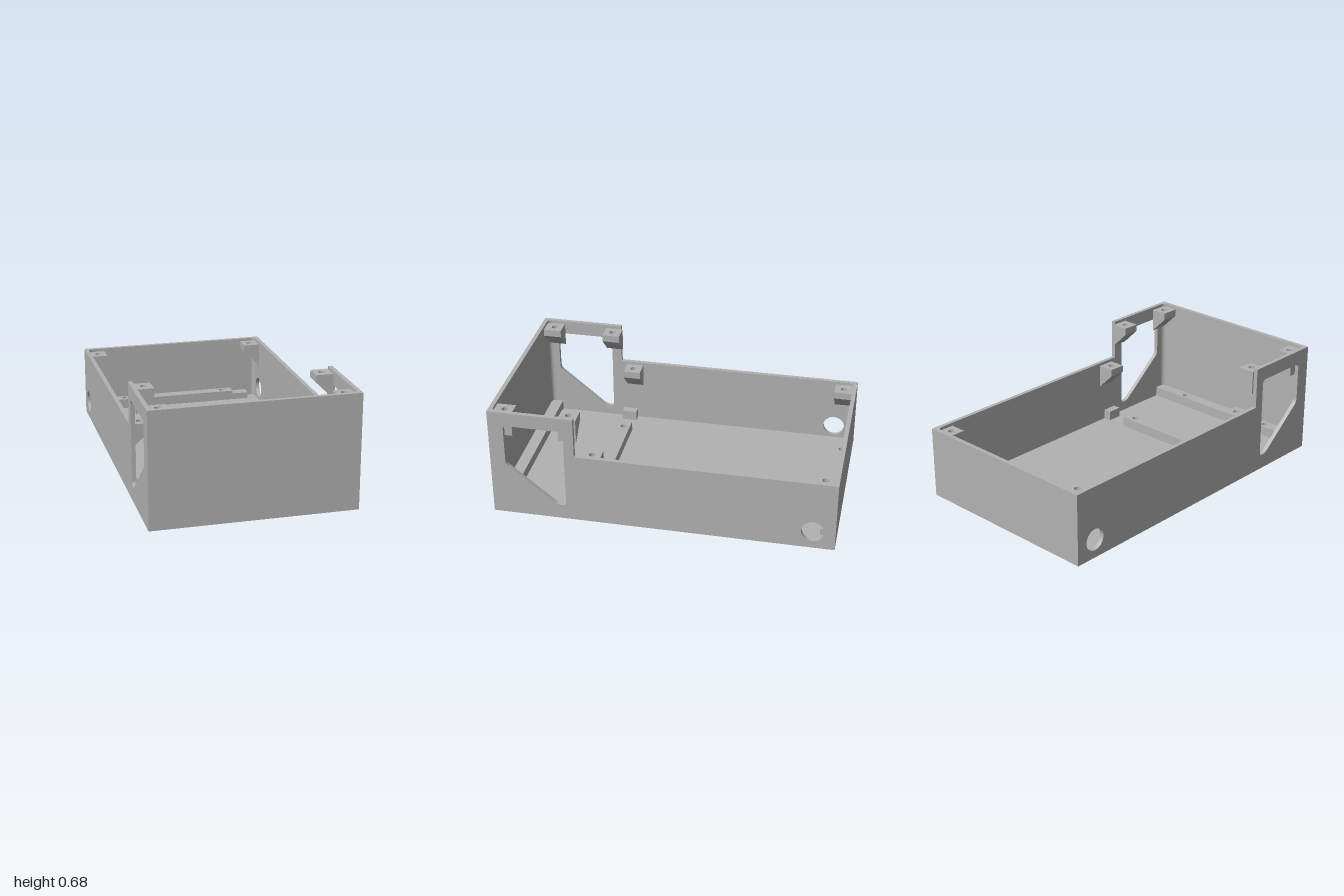
import * as THREE from 'three';
import { toCreasedNormals } from 'three/addons/utils/BufferGeometryUtils.js';

const HALF_W = 0.59, WALL = 0.025, LOW = 0.43, HIGH = 0.675, FLOOR = 0.03;
const IN_X = HALF_W - WALL, IN_Z = 1 - WALL;

export function createModel() {
  const model = new THREE.Group();
  const grey = new THREE.MeshStandardMaterial({ color: 0xb2b2b2 });
  grey.name = 'grey plastic';

  const add = (name, geometry, x = 0, y = 0, z = 0) => {
    const mesh = new THREE.Mesh(geometry, grey);
    mesh.name = name;
    mesh.position.set(x, y, z);
    model.add(mesh);
  };
  const box = (name, x0, x1, y0, y1, z0, z1) =>
    add(name, new THREE.BoxGeometry(x1 - x0, y1 - y0, z1 - z0), (x0 + x1) / 2, (y0 + y1) / 2, (z0 + z1) / 2);
  const polygon = pts => new THREE.Shape(pts.map(p => new THREE.Vector2(...p)));
  const extrude = (shape, depth) => toCreasedNormals(
    new THREE.ExtrudeGeometry(shape, { depth, bevelEnabled: false, curveSegments: 24 }), 0.5);
  const circle = (x, y, r) => new THREE.Path().absarc(x, y, r, 0, Math.PI * 2, true);

  // closed path with softened corners
  const roundedPath = (pts, r) => {
    const path = new THREE.Path();
    pts.forEach((p, i) => {
      const c = new THREE.Vector2(...p);
      const toward = q => c.clone().add(new THREE.Vector2(...q).sub(c).setLength(r));
      const a = toward(pts[(i + pts.length - 1) % pts.length]);
      const b = toward(pts[(i + 1) % pts.length]);
      if (i) path.lineTo(a.x, a.y); else path.moveTo(a.x, a.y);
      path.quadraticCurveTo(c.x, c.y, b.x, b.y);
    });
    path.closePath();
    return path;
  };

  // horizontal slab with vertical screw holes
  const drilledSlab = (name, x0, x1, y0, y1, z0, z1, holes) => {
    const shape = polygon([[x0, -z0], [x0, -z1], [x1, -z1], [x1, -z0]]);
    holes.forEach(([x, z]) => shape.holes.push(circle(x, -z, 0.019)));
    add(name, extrude(shape, y1 - y0).rotateX(-Math.PI / 2), 0, y0, 0);
  };

  // floor and end walls
  box('floor', -IN_X, IN_X, 0, FLOOR, -IN_Z, IN_Z);
  box('frontWall', -IN_X, IN_X, 0, HIGH, IN_Z, 1);
  box('backWall', -IN_X, IN_X, 0, LOW, -1, -IN_Z);

  // stepped side walls with a window and a round cable hole
  const wall = polygon([[-1, 0], [1, 0], [1, LOW], [-0.5, LOW], [-0.5, HIGH], [-1, HIGH]]);
  wall.holes.push(
    roundedPath([[-0.91, 0.59], [-0.56, 0.59], [-0.56, 0.09], [-0.612, 0.09], [-0.91, 0.335]], 0.025),
    circle(0.87, 0.11, 0.065));
  const wallGeometry = extrude(wall, WALL).rotateY(Math.PI / 2);
  add('leftWall', wallGeometry, IN_X);
  add('rightWall', wallGeometry, -HALF_W);

  for (const s of [1, -1]) {
    const span = (a, b) => [Math.min(s * a, s * b), Math.max(s * a, s * b)];

    // inner corner fillets
    for (const [e, top] of [[1, HIGH], [-1, LOW]]) {
      const X = s * IN_X, Y = -e * IN_Z, r = 0.03;
      const fillet = new THREE.Shape();
      fillet.moveTo(X, Y);
      fillet.lineTo(X - s * r, Y);
      fillet.quadraticCurveTo(X, Y, X, Y + e * r);
      fillet.closePath();
      add('cornerFillet', extrude(fillet, top - FLOOR).rotateX(-Math.PI / 2), 0, FLOOR, 0);
    }

    // lid screw bosses: drilled block over a sloping gusset
    for (const [z0, z1, top, hz] of [
      [0.865, IN_Z, 0.657, 0.915], [0.49, 0.595, 0.657, 0.543],
      [0.36, 0.465, 0.412, 0.413], [-IN_Z, -0.868, 0.412, -0.92]]) {
      const under = top - 0.043;
      drilledSlab('screwBoss', ...span(0.463, IN_X), under, top, z0, z1, [[s * 0.513, hz]]);
      const gusset = polygon([[s * 0.463, under], [s * IN_X, under], [s * IN_X, under - 0.1]]);
      add('bossGusset', extrude(gusset, z1 - z0), 0, 0, z0);
    }

    // short rail ends beside the side walls
    box('railStub', ...span(0.516, IN_X), FLOOR, 0.09, 0.4, 0.49);
    box('backRailStub', ...span(0.395, 0.5), FLOOR, 0.07, -IN_Z, -0.905);
  }

  // drilled mounting rails on the floor
  for (const [x, z0, z1, hz] of [
    [IN_X, 0.905, IN_Z, 0.94], [0.395, 0.4, 0.49, 0.442], [0.395, -IN_Z, -0.905, -0.945]]) {
    drilledSlab('mountingRail', -x, x, FLOOR, 0.09, z0, z1, [[-0.333, hz], [0.33, hz]]);
  }

  return model;
}
